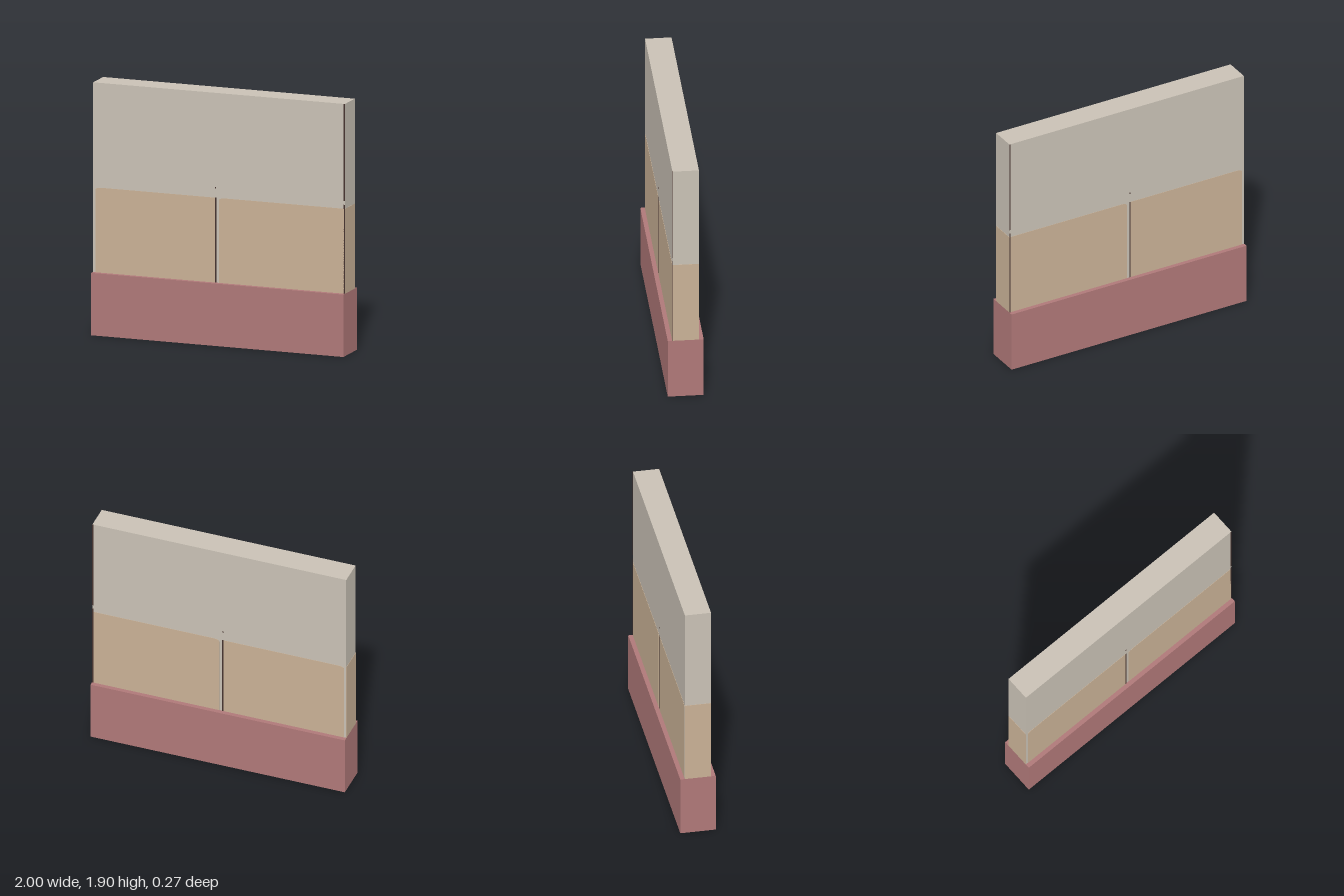
import * as THREE from 'three';

const mat = (name, color, side = THREE.FrontSide) => {
  const m = new THREE.MeshStandardMaterial({ color, side });
  m.name = name;
  return m;
};

export function createModel() {
  const group = new THREE.Group();
  const plaster = mat('plaster', 0xc9c1b5);
  const tan = mat('tan', 0xc9b196);
  const rose = mat('rose', 0xaf7878, THREE.DoubleSide);
  const dark = mat('dark brown', 0x46332f);

  const BASE_H = 0.47, TAN_H = 1.11, TOP = 1.9, DEPTH = 0.2, T = 0.002;

  const add = (name, geometry, material, x = 0, y = 0, z = 0) => {
    const mesh = new THREE.Mesh(geometry, material);
    mesh.name = name;
    mesh.position.set(x, y, z);
    group.add(mesh);
    return mesh;
  };

  // Plinth: a box shell without its underside
  const shell = new THREE.BoxGeometry(2, BASE_H, 0.266);
  const index = Array.from(shell.index.array);
  index.splice(18, 6);
  shell.setIndex(index);
  shell.clearGroups();
  add('plinth', shell, rose, 0, BASE_H / 2);

  // Wall slab
  add('wall', new THREE.BoxGeometry(2 - 2 * T, TOP - BASE_H, DEPTH - 2 * T),
    plaster, 0, (TOP + BASE_H) / 2);

  // Lower panel with softened upper corner
  const panel = (x0, x1) => {
    const s = new THREE.Shape();
    s.moveTo(x0, BASE_H);
    s.lineTo(x1, BASE_H);
    s.lineTo(x1, TAN_H);
    s.lineTo(x0 + 0.05, TAN_H);
    s.quadraticCurveTo(x0, TAN_H, x0, TAN_H - 0.02);
    s.closePath();
    return new THREE.ExtrudeGeometry(s, { depth: T, bevelEnabled: false, curveSegments: 5 });
  };

  const h = TAN_H - BASE_H;
  for (const side of [1, -1]) {
    const label = side > 0 ? 'front' : 'back';
    const zPlate = side > 0 ? DEPTH / 2 - T : -DEPTH / 2;
    const zMid = side * (DEPTH / 2 - T / 2);

    // Painted panels, centre joint and edge joint on each broad face
    add(label + 'PanelRight', panel(-0.98, -0.032), tan, 0, 0, zPlate);
    add(label + 'PanelLeft', panel(0, 0.99), tan, 0, 0, zPlate);
    add(label + 'CentreJoint', new THREE.BoxGeometry(0.01, h, T), dark, -0.027, BASE_H + h / 2, zMid);
    add(label + 'JointMark', new THREE.BoxGeometry(0.008, 0.012, T), dark, -0.028, 1.185, zMid);
    for (const [y0, y1] of [[BASE_H, 1.14], [1.17, TOP]]) {
      add(label + 'EdgeJoint', new THREE.BoxGeometry(0.01, y1 - y0, T), dark, 0.994, (y0 + y1) / 2, zMid);
    }

    // Painted lower half of each end
    add(side > 0 ? 'leftEndPanel' : 'rightEndPanel',
      new THREE.BoxGeometry(T, h, DEPTH - 2 * T), tan, side * (1 - T / 2), BASE_H + h / 2);
  }
  return group;
}
